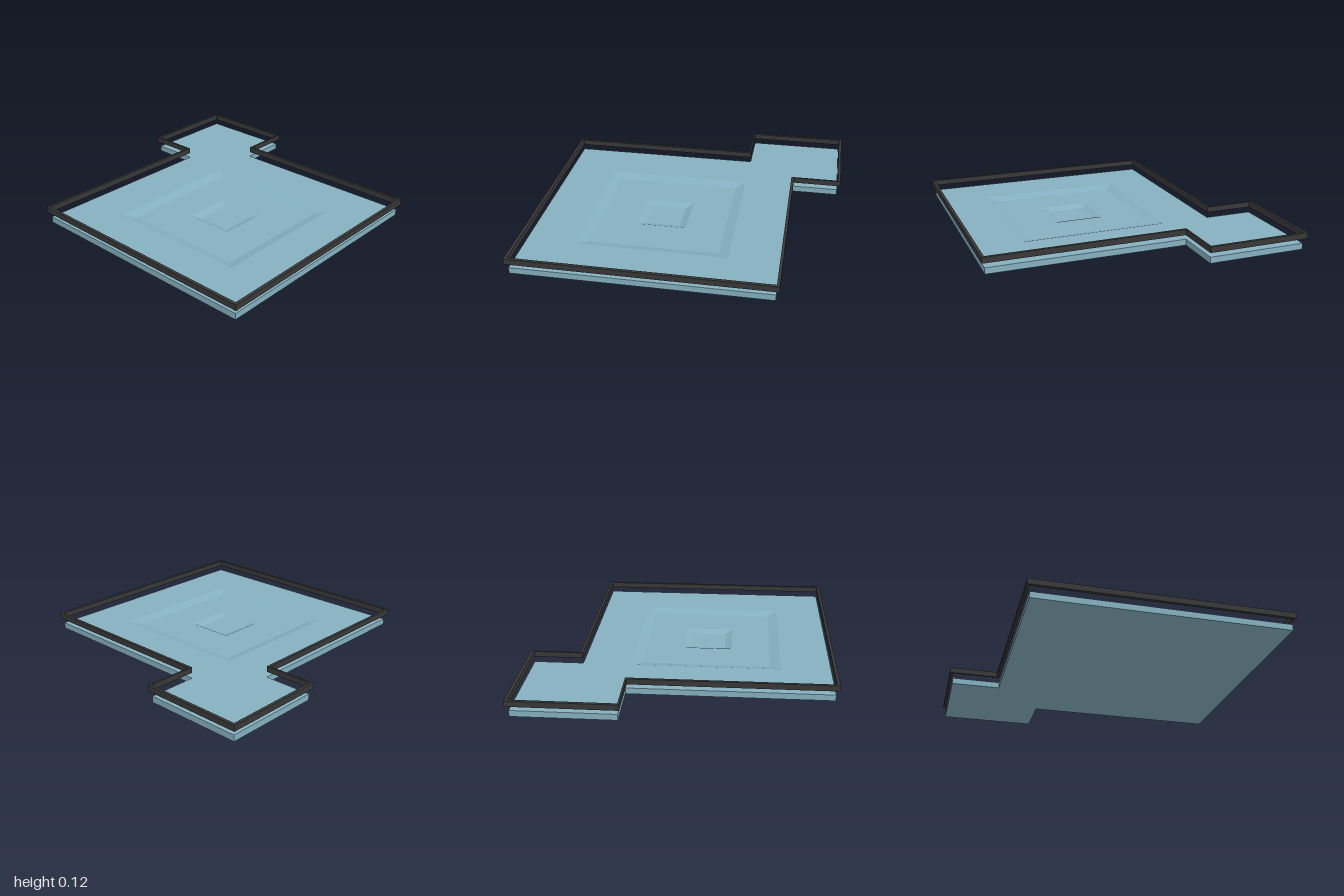
import * as THREE from 'three';

// Corner points as [x, z], shared order for the rim and the slab
const OUTER = [[-1, -1], [-0.315, -1], [-0.315, -0.672], [1, -0.672], [1, 1], [-0.672, 1], [-0.672, -0.315], [-1, -0.315]];
const INNER = [[-0.98, -0.98], [-0.327, -0.98], [-0.327, -0.653], [0.98, -0.653], [0.98, 0.98], [-0.653, 0.98], [-0.653, -0.327], [-0.98, -0.327]];

const CENTRE = 0.163; // basin centre in x and z
const HALF = 0.49;    // half width of the basin opening
const TOP = 0.041;    // slab height

// Plan points in counter-clockwise order, so walls of holes face inward
const toPoints = (list) => list.map(([x, z]) => new THREE.Vector2(x, -z)).reverse();

// Extrudes a plan outline with one hole upward from y to y + height
function plate(outline, hole, y, height) {
  const shape = new THREE.Shape(toPoints(outline));
  shape.holes.push(new THREE.Path(toPoints(hole).reverse()));
  const geometry = new THREE.ExtrudeGeometry(shape, { depth: height, bevelEnabled: false });
  return geometry.rotateX(-Math.PI / 2).translate(0, y, 0);
}

export function createModel() {
  const group = new THREE.Group();
  const blue = new THREE.MeshStandardMaterial({ color: 0x85b0c0 });
  blue.name = 'greyBlue';
  const dark = new THREE.MeshStandardMaterial({ color: 0x383838 });
  dark.name = 'charcoal';

  const add = (name, geometry, material) => {
    const mesh = new THREE.Mesh(geometry, material);
    mesh.name = name;
    group.add(mesh);
  };

  // Floating rim that follows the outline
  add('rim', plate(OUTER, INNER, 0.077, 0.038), dark);

  // Slab with a square opening for the basin
  const a = CENTRE - HALF, b = CENTRE + HALF;
  add('slab', plate(INNER, [[a, a], [b, a], [b, b], [a, b]], 0, TOP), blue);

  // Two-step square basin with sloping walls, facing up
  const profile = [[HALF, TOP], [0.423, 0.022], [0.163, 0.022], [0.116, 0.002], [0, 0.002]]
    .map(([half, y]) => new THREE.Vector2(half * Math.SQRT2, y));
  const basin = new THREE.LatheGeometry(profile, 4, Math.PI / 4).toNonIndexed();
  basin.computeVertexNormals();
  add('basin', basin.translate(CENTRE, 0, CENTRE), blue);

  // Underside closing the opening
  const base = new THREE.PlaneGeometry(HALF * 2, HALF * 2).rotateX(Math.PI / 2);
  add('basinUnderside', base.translate(CENTRE, 0, CENTRE), blue);

  return group;
}
